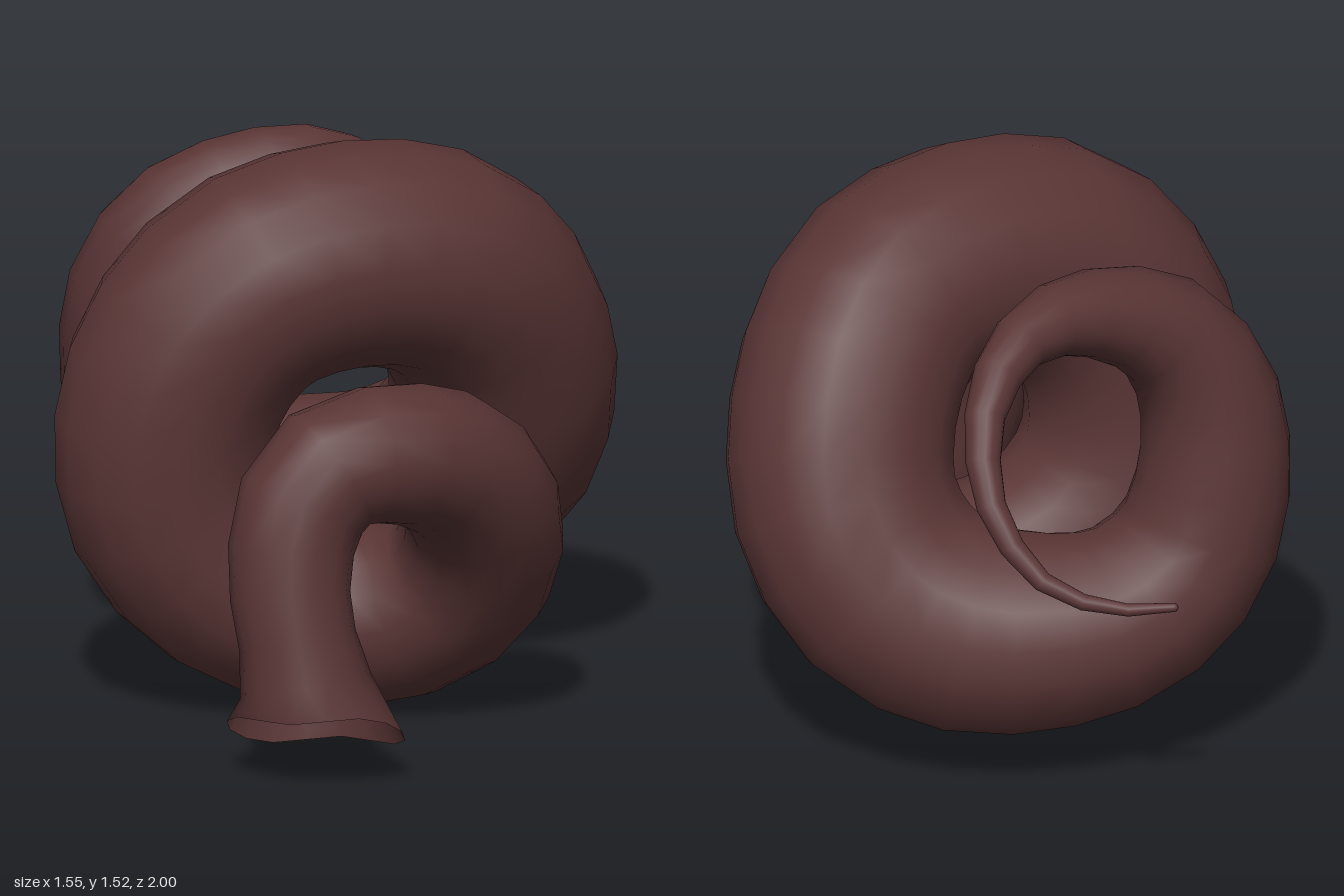
import * as THREE from 'three';

// Centreline stations from flared mouth to thin tip: x, y, z, radius
const mouthAndFirstTurn = [
  [0.315, 0.12, 0.815, 0.25], [0.29, 0.21, 0.81, 0.185], [0.265, 0.31, 0.795, 0.155],
  [0.225, 0.5, 0.77, 0.16], [0.235, 0.69, 0.72, 0.175], [0.3, 0.795, 0.655, 0.18],
  [0.42, 0.82, 0.55, 0.185], [0.535, 0.745, 0.36, 0.2], [0.568, 0.58, 0.2, 0.21],
  [0.485, 0.385, 0.095, 0.225],
];
const middleTurn = [
  [0.32, 0.27, 0.085, 0.24], [0.12, 0.25, 0.125, 0.255], [-0.11, 0.34, 0.22, 0.275],
  [-0.25, 0.52, 0.295, 0.29], [-0.28, 0.75, 0.325, 0.298], [-0.22, 0.97, 0.305, 0.303],
  [-0.08, 1.145, 0.23, 0.305], [0.13, 1.21, 0.065, 0.305], [0.32, 1.155, -0.13, 0.305],
  [0.405, 0.965, -0.315, 0.305], [0.39, 0.7, -0.445, 0.303],
];
const backTurnAndTail = [
  [0.26, 0.5, -0.5, 0.303], [0.06, 0.4, -0.51, 0.29], [-0.16, 0.385, -0.485, 0.265],
  [-0.36, 0.425, -0.41, 0.24], [-0.51, 0.56, -0.32, 0.222], [-0.57, 0.78, -0.27, 0.207],
  [-0.54, 1.02, -0.245, 0.185], [-0.43, 1.19, -0.285, 0.155], [-0.22, 1.29, -0.44, 0.11],
  [-0.09, 1.265, -0.59, 0.078], [-0.025, 1.14, -0.76, 0.055], [-0.06, 0.93, -0.9, 0.04],
  [-0.21, 0.75, -0.97, 0.027], [-0.39, 0.685, -0.965, 0.019], [-0.55, 0.685, -0.935, 0.012],
];
const stations = [...mouthAndFirstTurn, ...middleTurn, ...backTurnAndTail];

const RINGS = 64, SIDES = 16;

function radiusAt(t) {
  const f = t * (stations.length - 1);
  const i = Math.min(Math.floor(f), stations.length - 2);
  return THREE.MathUtils.lerp(stations[i][3], stations[i + 1][3], f - i);
}

// Unit tube whose rings are scaled to the local radius
function taperedTube(curve) {
  const geometry = new THREE.TubeGeometry(curve, RINGS, 1, SIDES, false);
  const position = geometry.attributes.position;
  const v = new THREE.Vector3();
  for (let ring = 0; ring <= RINGS; ring++) {
    const u = ring / RINGS;
    const centre = curve.getPointAt(u);
    const radius = radiusAt(curve.getUtoTmapping(u));
    for (let side = 0; side <= SIDES; side++) {
      const k = ring * (SIDES + 1) + side;
      v.fromBufferAttribute(position, k).sub(centre).multiplyScalar(radius);
      if (ring === 0) {
        // The mouth is an uneven oval, cut at a slant that rises to the front
        v.z *= 0.77;
        const angle = Math.atan2(v.z, v.x);
        v.y = 0.42 * v.z + 0.08 * v.x + 0.015 * Math.sin(angle * 3);
      }
      v.add(centre);
      position.setXYZ(k, v.x, v.y, v.z);
    }
  }
  return geometry;
}

export function createModel() {
  const group = new THREE.Group();
  group.name = 'coiledHorn';

  const hornBrown = new THREE.MeshStandardMaterial({ color: 0x5a3535, side: THREE.DoubleSide });
  hornBrown.name = 'dark reddish brown';

  // Hollow coil, open at the flared mouth
  const curve = new THREE.CatmullRomCurve3(stations.map(([x, y, z]) => new THREE.Vector3(x, y, z)));
  curve.arcLengthDivisions = 600;
  const horn = new THREE.Mesh(taperedTube(curve), hornBrown);
  horn.name = 'spiralHorn';
  group.add(horn);

  // Rounded end of the tail
  const [x, y, z, r] = stations[stations.length - 1];
  const tip = new THREE.Mesh(new THREE.SphereGeometry(r, 10, 8), hornBrown);
  tip.name = 'tailTip';
  tip.position.set(x, y, z);
  group.add(tip);

  return group;
}
